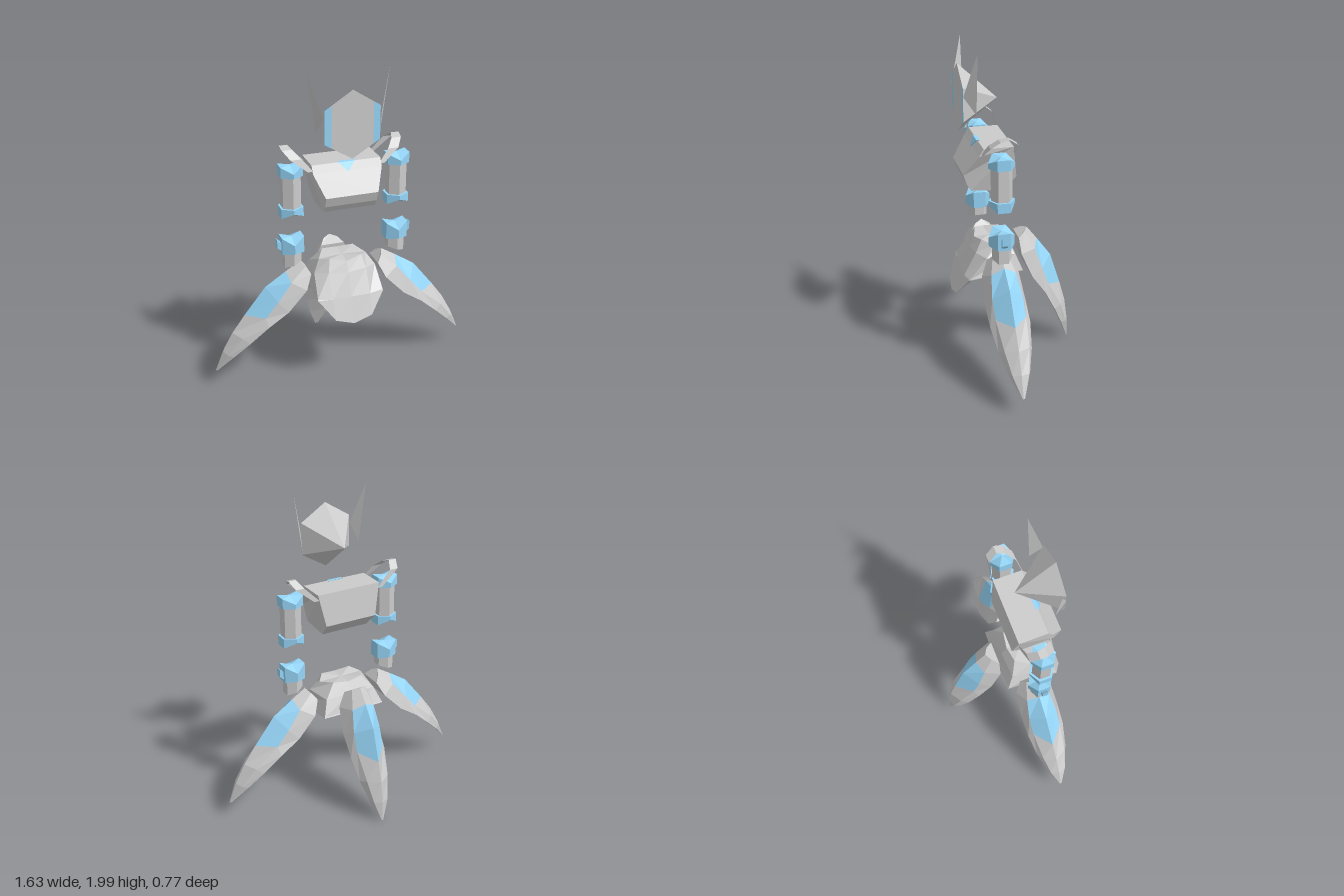
import * as THREE from 'three';

const mat = (color, side = THREE.FrontSide) => new THREE.MeshStandardMaterial({ color, flatShading: true, side });
const grey = mat(0xcccccc), blue = mat(0x96d6f8);
const greySheet = mat(0xcccccc, THREE.DoubleSide), blueSheet = mat(0x96d6f8, THREE.DoubleSide);

function fromTriangles(name, pts, material) {
  const g = new THREE.BufferGeometry();
  g.setAttribute('position', new THREE.Float32BufferAttribute(pts.flat(), 3));
  g.computeVertexNormals();
  const m = new THREE.Mesh(g, material);
  m.name = name;
  return m;
}

// Skin between closed rings that run anticlockwise about the direction of travel.
function loft(name, rings, material, { caps = false, pick = () => true } = {}) {
  const t = [], n = rings[0].length;
  for (let i = 0; i < rings.length - 1; i++)
    for (let j = 0; j < n; j++) {
      if (!pick(i, j)) continue;
      const k = (j + 1) % n;
      const [a, b, c, d] = [rings[i][j], rings[i][k], rings[i + 1][k], rings[i + 1][j]];
      t.push(a, b, c, a, c, d);
    }
  if (caps) {
    const s = rings[0], e = rings[rings.length - 1];
    for (let j = 1; j < n - 1; j++) t.push(s[0], s[j + 1], s[j], e[0], e[j], e[j + 1]);
  }
  return fromTriangles(name, t, material);
}

// Flat convex polygon, corners anticlockwise from its front.
function polygon(name, p, material) {
  const t = [];
  for (let j = 1; j < p.length - 1; j++) t.push(p[0], p[j], p[j + 1]);
  return fromTriangles(name, t, material);
}

const point = (p, n) => Array(n).fill(p);
const flipX = ([x, y, z]) => [-x, y, z];

function head() {
  const g = new THREE.Group();
  g.name = 'head';
  const z = 0.32, w = 0.165, s = 0.125;
  const hex = [[w, 1.59, z], [w, 1.79, z], [0, 1.895, z], [-w, 1.79, z], [-w, 1.59, z], [0, 1.49, z]];
  g.add(loft('skull', [point([0, 1.675, 0.085], 6), hex], grey));
  g.add(polygon('face', [[s, 1.566, z], [s, 1.815, z], hex[2], [-s, 1.815, z], [-s, 1.566, z], hex[5]], grey));
  const strip = [[s, 1.566, z], hex[0], hex[1], [s, 1.815, z]];
  g.add(polygon('leftCheek', strip, blue));
  g.add(polygon('rightCheek', strip.map(flipX).reverse(), blue));
  const horn = [[0.245, 2, 0.25], [0.17, 1.74, 0.32], [0.195, 1.635, 0.25]];
  g.add(polygon('leftHorn', horn, greySheet), polygon('rightHorn', horn.map(flipX), greySheet));
  return g;
}

function torso() {
  const g = new THREE.Group();
  g.name = 'torso';
  // chest profile: half width, y, z
  const side = [[0.21, 1.435, 0.035], [0.21, 1.435, 0.215], [0.21, 1.39, 0.243], [0.16, 1.265, 0.325],
    [0.157, 1.205, 0.305], [0.157, 1.165, 0.28], [0.155, 1.15, 0.09], [0.17, 1.235, 0.01]];
  g.add(loft('chest', [side.map(flipX), side], grey, { caps: true }));
  // pendant
  const back = [[-0.05, 1.437, 0.2], [0, 1.385, 0.235], [0.05, 1.437, 0.2]];
  const front = [[-0.05, 1.437, 0.222], [0, 1.385, 0.252], [0.05, 1.437, 0.222]];
  g.add(loft('pendant', [back, front], blue, { caps: true }));
  // shoulder bands: inner x, outer x, y, z
  const arch = [[0.2, 0.235, 1.4, 0.225], [0.265, 0.33, 1.475, 0.2], [0.305, 0.365, 1.52, 0.15],
    [0.32, 0.37, 1.535, 0.1], [0.295, 0.35, 1.495, 0.045], [0.2, 0.235, 1.4, 0.035]];
  for (const s of [1, -1]) {
    const t = [];
    for (let i = 0; i < arch.length - 1; i++) {
      const [[a, b, y, z], [c, d, v, w]] = [arch[i], arch[i + 1]];
      t.push([s * a, y, z], [s * b, y, z], [s * d, v, w], [s * a, y, z], [s * d, v, w], [s * c, v, w]);
    }
    g.add(fromTriangles(s > 0 ? 'leftShoulderBand' : 'rightShoulderBand', t, greySheet));
  }
  return g;
}

// Hexagon with corners towards front and back; tip moves those two, slant tilts it outwards.
const hexRing = (r, y, tip = 0, slant = 0) => Array.from({ length: 6 }, (_, k) => {
  const a = k * Math.PI / 3, x = r * Math.sin(a);
  return [x, y + (k % 3 ? 0 : tip) + slant * x, r * Math.cos(a)];
});

function arm() {
  const g = new THREE.Group();
  const top = point([0, 1.43, 0], 6), low = point([0, 1.11, 0], 6);
  g.add(loft('upperArm', [hexRing(0.063, 1.15), hexRing(0.063, 1.39)], grey, { caps: true }));
  g.add(loft('shoulderCap', [point([0, 1.365, 0], 6), hexRing(0.078, 1.365), hexRing(0.078, 1.43, -0.035), top], blue));
  g.add(loft('elbowCap', [low, hexRing(0.078, 1.11, 0.035), hexRing(0.078, 1.17), point([0, 1.17, 0], 6)], blue));
  g.add(loft('forearm', [hexRing(0.06, 0.8, 0, -0.35), hexRing(0.06, 0.93)], grey, { caps: true }));
  g.add(loft('wristCap', [point([0, 0.875, 0], 6), hexRing(0.078, 0.875, 0.01), hexRing(0.078, 0.98, -0.04),
    point([0, 0.975, 0], 6)], blue));
  // small outward fin
  const fin = new THREE.Shape([[0.055, 0.88], [0.0925, 0.915], [0.0925, 0.965], [0.055, 0.93]]
    .map(p => new THREE.Vector2(...p)));
  const f = new THREE.Mesh(new THREE.ExtrudeGeometry(fin, { depth: 0.036, bevelEnabled: false }), blueSheet);
  f.name = 'wristFin';
  f.position.z = -0.018;
  g.add(f);
  return g;
}

function pelvis() {
  // each half ring runs from front to back
  const halves = [
    [[0, 0.795, 0.235], [0.1, 0.815, 0.21], [0.15, 0.795, 0.15], [0.1, 0.815, 0.06], [0, 0.805, 0.045]],
    [[0, 0.735, 0.265], [0.12, 0.74, 0.25], [0.195, 0.73, 0.2], [0.17, 0.73, 0.02], [0, 0.74, 0.01]],
    [[0, 0.6, 0.325], [0.12, 0.6, 0.325], [0.208, 0.605, 0.31], [0.208, 0.635, -0.022], [0, 0.635, -0.027]],
    [[0, 0.447, 0.385], [0.115, 0.48, 0.375], [0.208, 0.6, 0.315], [0.208, 0.63, -0.025], [0, 0.63, -0.03]],
  ];
  const rings = halves.map(h => [...h.map(flipX), ...h.slice(1, -1).reverse()]);
  return loft('pelvis', [point([0, 0.8, 0.14], 8), ...rings, point([0, 0.555, 0.16], 8)], grey);
}

// Petal leg pointing to +x, with its origin at the top of the ridge.
function leg(name, position, turn, tilt) {
  // ridge x y, panel edge x y and half width, rim x y and half width
  const stations = [
    [0.265, 0.79, 0.245, 0.77, 0.045, 0.215, 0.73, 0.075],
    [0.355, 0.735, 0.34, 0.69, 0.075, 0.255, 0.645, 0.115],
    [0.485, 0.65, 0.43, 0.58, 0.092, 0.375, 0.52, 0.125],
    [0.62, 0.48, 0.51, 0.485, 0.092, 0.5, 0.435, 0.122],
    [0.7, 0.37, 0.655, 0.36, 0.075, 0.615, 0.33, 0.1],
    [0.765, 0.25, 0.745, 0.245, 0.05, 0.71, 0.235, 0.065],
    [0.815, 0.125, 0.813, 0.125, 0.006, 0.808, 0.127, 0.01],
  ];
  const rings = stations.map(([a, b, c, d, p, e, f, w]) =>
    [[a, b, 0], [c, d, p], [e, f, w], [e, f, -w], [c, d, -p]].map(([x, y, z]) => [x - 0.265, y - 0.79, z]));
  const isPanel = (i, j) => (i === 1 || i === 2) && (j === 0 || j === 4);
  const g = new THREE.Group();
  g.name = name;
  g.position.set(...position);
  g.rotation.set(0, turn, tilt);
  g.add(loft('legShell', rings, grey, { caps: true, pick: (i, j) => !isPanel(i, j) }));
  g.add(loft('legPanel', rings, blue, { pick: isPanel }));
  return g;
}

export function createModel() {
  const model = new THREE.Group();
  model.name = 'robot';
  model.add(head(), torso(), pelvis());
  for (const s of [1, -1]) {
    const a = arm();
    a.name = s > 0 ? 'leftArm' : 'rightArm';
    a.position.set(s * 0.33 + 0.0125, 0, 0.142);
    a.scale.x = s;
    model.add(a);
  }
  model.add(leg('leftLeg', [0.265, 0.79, 0.13], 0, 0));
  model.add(leg('rightLeg', [-0.265, 0.79, 0.13], Math.PI, 0));
  model.add(leg('backLeg', [0, 0.825, -0.1], Math.PI / 2, -0.36));
  return model;
}
